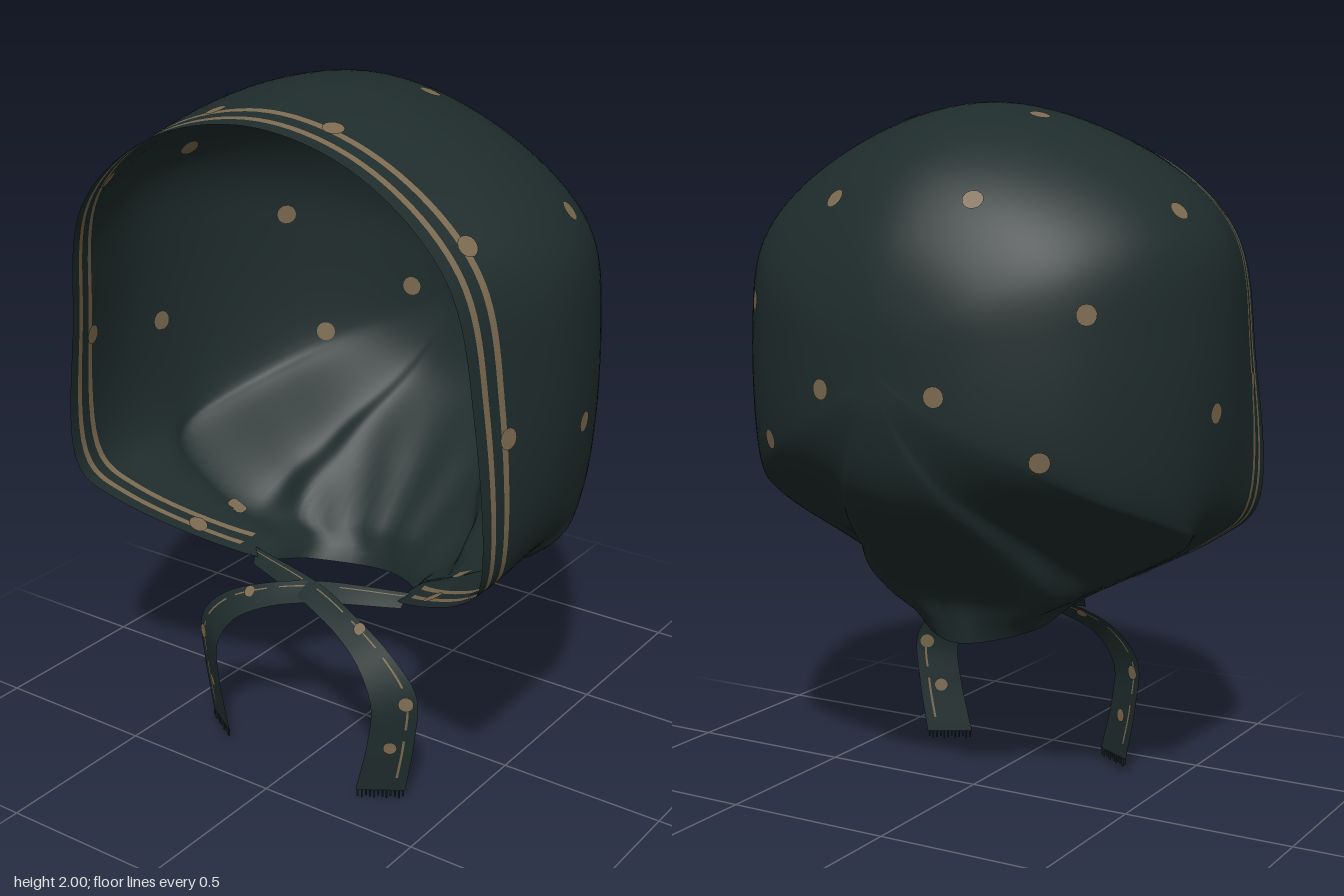
import * as THREE from 'three';

const V = (p) => new THREE.Vector3(...p);
const spline = (pts, closed = false) => new THREE.CatmullRomCurve3(pts, closed);

// Half outlines (x >= 0), top to bottom: the open edge, and the widest section of the hood
const EDGE = [[0, 1.93, .515], [.34, 1.85, .515], [.59, 1.63, .51], [.665, 1.28, .49], [.685, .83, .48],
  [.59, .735, .43], [.25, .55, .2], [.19, .49, .02], [0, .455, -.1]];
const WIDEST = [[0, 2, .13], [.41, 1.88, .13], [.685, 1.65, .13], [.735, 1.36, .12], [.69, .86, .12],
  [.59, .75, .14], [.265, .57, .1], [.2, .53, -.03], [0, .52, -.11]];
const POLE = V([0, 1.28, -.525]);

// Spots on one half of the hood
const SPOTS = [[.22, 1.74, -.38], [.22, 1.97, .01], [.63, 1.71, 0], [.58, 1.7, .4], [.19, 1.94, .4],
  [.53, 1.44, -.32], [.18, 1.22, -.49], [.43, 1.06, -.37], [.72, 1.18, .06], [.7, 1.2, .39],
  [.42, .62, .1], [.42, .65, .28]];

// Edges of a tie, from the neck across the front to the hanging end
const TIE_OUTER = [[.27, .57, .17], [0, .55, .22], [-.16, .52, .27], [-.3, .46, .3], [-.39, .36, .3],
  [-.385, .22, .3], [-.355, .05, .3]];
const TIE_INNER = [[.26, .53, .2], [0, .505, .28], [-.14, .465, .32], [-.23, .41, .35], [-.28, .32, .365],
  [-.272, .21, .37], [-.235, .05, .375]];

// Section rounded off towards the back: full above, a flaring funnel near the neck
function backSection(degrees) {
  const t = THREE.MathUtils.degToRad(degrees), c = Math.cos(t), s = Math.sin(t);
  return WIDEST.map(([x, y, z]) => {
    const low = Math.max(0, .9 - y), m = low / .38;
    const reach = 1 - (1 - s ** (1 + 3 * m)) ** (1 + .8 * m);
    const flare = 1 + 1.9 * low * Math.sin(2 * t);
    const height = y > POLE.y ? c ** .8 : c;
    return [x * c * flare, POLE.y + (y - POLE.y) * height, z + (POLE.z - z) * reach];
  });
}

export function createModel() {
  const cloth = new THREE.MeshStandardMaterial({ color: 0x1f2c2c, side: THREE.DoubleSide });
  const trim = new THREE.MeshStandardMaterial({ color: 0x7b6a50, side: THREE.DoubleSide });
  cloth.name = 'darkCloth';
  trim.name = 'tanTrim';
  const model = new THREE.Group();
  model.name = 'bonnet';

  // Grid of points to a smooth surface; isTrim picks the cells of the second colour
  function surface(name, rows, closed, isTrim) {
    const n = rows[0].length, plain = [], accent = [];
    for (let j = 0; j < rows.length - 1; j++) {
      for (let i = 0; i < (closed ? n : n - 1); i++) {
        const k = (i + 1) % n, a = j * n + i, b = j * n + k, c = a + n, d = b + n;
        (isTrim(i, j) ? accent : plain).push(a, b, c, b, d, c);
      }
    }
    const geo = new THREE.BufferGeometry().setFromPoints(rows.flat());
    geo.setIndex([...plain, ...accent]);
    geo.addGroup(0, plain.length, 0);
    geo.addGroup(plain.length, accent.length, 1);
    geo.computeVertexNormals();
    const mesh = new THREE.Mesh(geo, [cloth, trim]);
    mesh.name = name;
    model.add(mesh);
    return mesh;
  }

  // Thin round spot on both faces of the cloth at the nearest surface point
  function spot(mesh, centre, radius) {
    const { position, normal } = mesh.geometry.attributes;
    const p = new THREE.Vector3();
    let best = 0, min = Infinity;
    for (let i = 0; i < position.count; i++) {
      const d = p.fromBufferAttribute(position, i).distanceToSquared(centre);
      if (d < min) { min = d; best = i; }
    }
    p.fromBufferAttribute(position, best);
    for (const side of [1, -1]) {
      const dir = new THREE.Vector3().fromBufferAttribute(normal, best).multiplyScalar(side);
      const disc = new THREE.Mesh(new THREE.CircleGeometry(radius, 14), trim);
      disc.name = 'spot';
      disc.position.copy(p).addScaledVector(dir, .004);
      disc.quaternion.setFromUnitVectors(new THREE.Vector3(0, 0, 1), dir);
      model.add(disc);
    }
  }

  // Hood: closed loops joined by curves running from the open edge to the back
  const N = 160, STEPS = 44, hem = [0, .037, .056, .09, .11];
  const halves = [EDGE, WIDEST, ...[22, 45, 65, 80].map(backSection)];
  const rings = halves.map((half) => {
    const mirrored = half.slice(1, -1).reverse().map(([x, y, z]) => [-x, y, z]);
    return spline([...half, ...mirrored].map(V), true);
  });
  const rows = Array.from({ length: hem.length + STEPS }, () => []);
  for (let i = 0; i < N; i++) {
    const line = spline([...rings.map((r) => r.getPoint(i / N)), POLE]);
    const len = line.getLength(), last = hem[hem.length - 1];
    rows.forEach((row, j) => {
      const d = j < hem.length ? hem[j] : last + (len - last) * (j - hem.length + 1) / STEPS;
      const p = line.getPointAt(Math.min(1, d / len));
      // Soft gathers above the neck
      const fade = THREE.MathUtils.smoothstep(1.05 - p.y, 0, .35) * THREE.MathUtils.smoothstep(d, 0, .12);
      const angle = Math.atan2(p.x, .1 - p.z);
      const push = .005 * fade * Math.cos(angle * 13);
      p.x += push * Math.sin(angle);
      p.z -= push * Math.cos(angle);
      row.push(p);
    });
  }
  // Two stripes follow the face opening and stop at the neck
  const neck = N * 5.8 / 16;
  const hood = surface('hood', rows, true, (i, j) => (j === 1 || j === 3) && (i < neck || i >= N - neck));
  for (const [x, y, z] of SPOTS) {
    for (const s of [1, -1]) spot(hood, V([x * s, y, z]), .029);
  }

  // Ties: striped ribbons crossing under the chin, with spots and frayed ends
  const across = [0, .2, .25, .5, .75, 1];
  for (const s of [1, -1]) {
    const drop = s === 1 ? 0 : .025, gap = s === 1 ? 0 : .012;
    const place = ([x, y, z], k) => V([x * s, y - drop * k / 6, z + gap]);
    const outer = spline(TIE_OUTER.map(place)), inner = spline(TIE_INNER.map(place));
    const strips = across.map((f) => Array.from({ length: 49 }, (_, i) =>
      outer.getPoint(i / 48).lerp(inner.getPoint(i / 48), f)));
    const tie = surface(s === 1 ? 'rightTie' : 'leftTie', strips, false, (i, j) => j === 1 && i % 8 < 6);
    spot(tie, V([-.35 * s, .32, .32]), .022);
    spot(tie, V([-.33 * s, .17, .33]), .02);
    spot(tie, V([-.2 * s, .49, .3]), .018);
    for (let i = 0; i < 12; i++) {
      const h = .018 + .0035 * ((i * 5) % 3);
      const thread = new THREE.Mesh(new THREE.BoxGeometry(.004, h, .004), cloth);
      thread.name = 'fringe';
      thread.position.copy(outer.getPoint(1)).lerp(inner.getPoint(1), (i + .5) / 12);
      thread.position.y -= h / 2;
      model.add(thread);
    }
  }
  return model;
}
